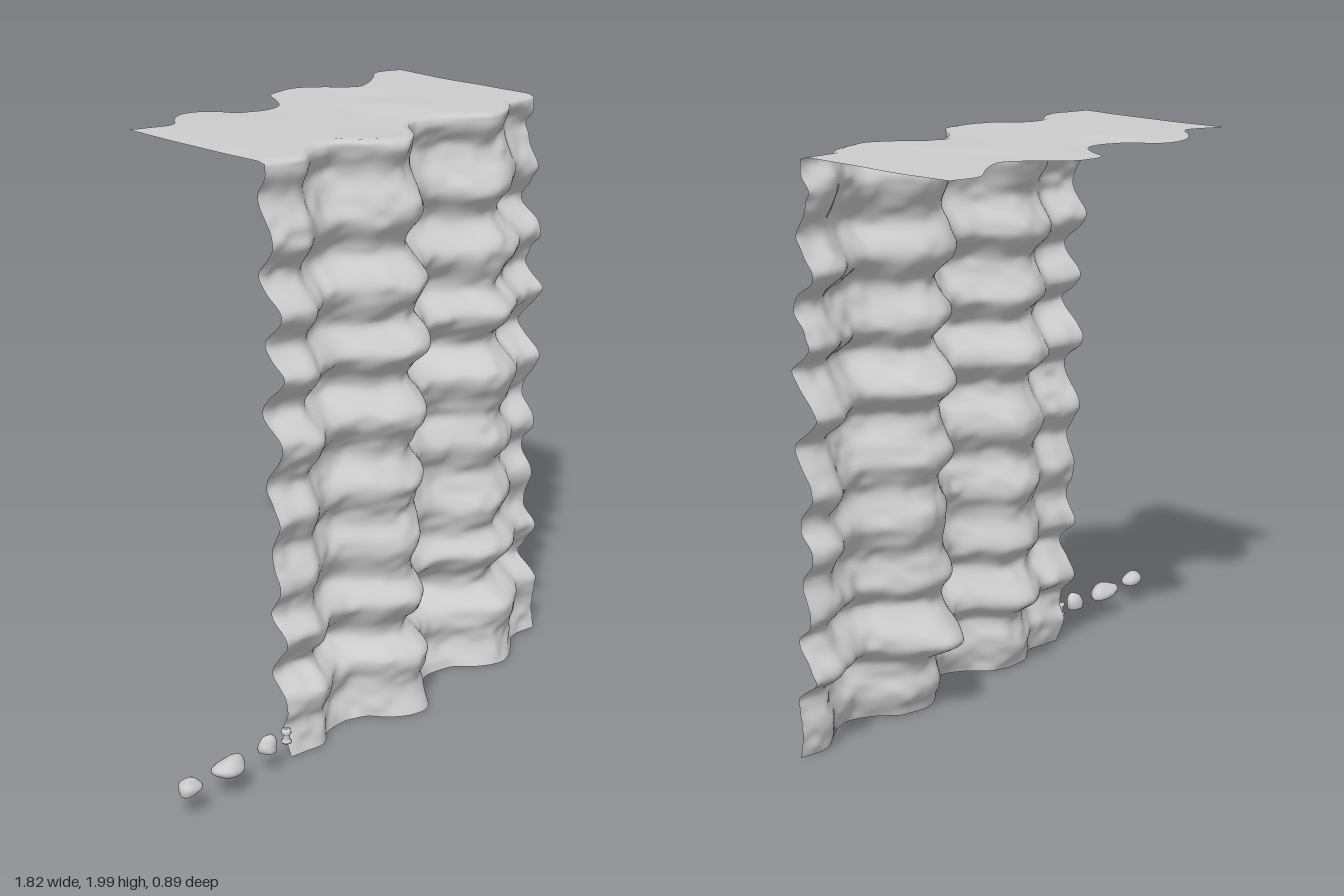
import * as THREE from 'three';

const grey = new THREE.MeshStandardMaterial({ color: 0xcccccc });
const sheet = new THREE.MeshStandardMaterial({ color: 0xcccccc, side: THREE.DoubleSide });

// Smooth curve through [position, value] pairs
function spline(keys) {
  const slope = (i) => {
    const a = keys[Math.max(i - 1, 0)], b = keys[Math.min(i + 1, keys.length - 1)];
    return (b[1] - a[1]) / (b[0] - a[0]);
  };
  return (t) => {
    let i = 0;
    while (i < keys.length - 2 && t > keys[i + 1][0]) i++;
    const [x0, y0] = keys[i], [x1, y1] = keys[i + 1];
    const h = x1 - x0, s = THREE.MathUtils.clamp((t - x0) / h, 0, 1);
    const s2 = s * s, s3 = s2 * s;
    return y0 * (2 * s3 - 3 * s2 + 1) + y1 * (3 * s2 - 2 * s3)
      + h * (slope(i) * (s3 - 2 * s2 + s) + slope(i + 1) * (s3 - s2));
  };
}

// Smooth value noise in -1..1
function hash(i, j) {
  const n = Math.sin(i * 127.1 + j * 311.7) * 43758.5453;
  return (n - Math.floor(n)) * 2 - 1;
}
function noise(x, y) {
  const i = Math.floor(x), j = Math.floor(y);
  const u = THREE.MathUtils.smoothstep(x - i, 0, 1), v = THREE.MathUtils.smoothstep(y - j, 0, 1);
  const { lerp } = THREE.MathUtils;
  return lerp(lerp(hash(i, j), hash(i + 1, j), u), lerp(hash(i, j + 1), hash(i + 1, j + 1), u), v);
}

// Plan outline of the cliff: z along x
const plan = spline([
  [-0.39, 0.275], [-0.32, 0.29], [-0.25, 0.305], [-0.18, 0.26], [-0.1, 0.234], [-0.03, 0.255],
  [0.03, 0.325], [0.08, 0.355], [0.15, 0.375], [0.22, 0.34], [0.3, 0.245], [0.38, 0.215],
  [0.47, 0.24], [0.55, 0.315], [0.62, 0.345], [0.72, 0.315], [0.8, 0.262], [0.91, 0.275],
]);
// Rear edge of the plateau: z along x
const rearEdge = spline([
  [-0.39, -0.385], [-0.33, -0.36], [-0.27, -0.335], [-0.235, -0.34], [-0.2, -0.38], [-0.15, -0.42],
  [-0.1, -0.437], [-0.04, -0.425], [0, -0.39], [0.03, -0.335], [0.07, -0.31], [0.13, -0.287],
  [0.2, -0.3], [0.25, -0.36], [0.29, -0.43], [0.38, -0.447], [0.43, -0.435], [0.5, -0.375],
  [0.55, -0.32], [0.6, -0.295], [0.67, -0.32], [0.72, -0.35], [0.81, -0.41], [0.91, -0.385],
]);
// Ledges of the cliff: z offset along y
const ledges = spline([
  [0, 0.062], [0.09, 0.025], [0.21, 0.046], [0.29, -0.04], [0.42, 0.035], [0.5, -0.03], [0.61, 0.012],
  [0.72, -0.035], [0.83, 0.008], [0.93, -0.05], [1.08, 0.02], [1.18, -0.075], [1.31, 0.022],
  [1.4, -0.055], [1.52, 0.008], [1.62, -0.08], [1.74, -0.017], [1.88, -0.085], [1.96, -0.05], [2, -0.055],
]);

const X0 = -0.39, X1 = 0.908, TOP = 1.985;

function cliffZ(x, y) {
  const wobble = y + 0.016 * noise(x * 4 + 9, y * 3) * Math.min(1, y * 5);
  const hollow = 0.05 * Math.exp(-(((x - 0.36) / 0.1) ** 2) - ((y - 0.27) / 0.07) ** 2);
  return plan(x + 0.016 * noise(y * 6, x * 3 + 40)) + ledges(wobble) * (1 + 0.2 * noise(x * 4, y * 4 + 20))
    + 0.01 * noise(x * 10, y * 14) + 0.007 * noise(x * 22, y * 28) - hollow;
}

// One sheet that climbs the cliff face and folds back over the plateau
function cliffGeometry() {
  const cols = 130, wallRows = 170, topRows = 24;
  const positions = [], index = [];
  for (let r = 0; r <= wallRows + topRows; r++) {
    for (let c = 0; c <= cols; c++) {
      const x = THREE.MathUtils.lerp(X0, X1, c / cols);
      if (r <= wallRows) {
        const y = TOP * r / wallRows;
        positions.push(x, y, cliffZ(x, y));
      } else {
        const t = (r - wallRows) / topRows;
        const y = TOP + 0.005 + 0.005 * noise(x * 4, t * 3 + 60);
        positions.push(x, y, THREE.MathUtils.lerp(cliffZ(x, TOP), rearEdge(x), t));
      }
    }
  }
  const n = cols + 1;
  for (let r = 0; r < wallRows + topRows; r++) {
    for (let c = 0; c < cols; c++) {
      const a = r * n + c;
      index.push(a, a + 1, a + n + 1, a, a + n + 1, a + n);
    }
  }
  const g = new THREE.BufferGeometry();
  g.setAttribute('position', new THREE.Float32BufferAttribute(positions, 3));
  g.setIndex(index);
  g.computeVertexNormals();
  return g;
}

// Lumpy boulder with a flattened base resting at y = 0
function rockGeometry(w, h, d, seed) {
  const g = new THREE.SphereGeometry(1, 20, 14);
  const p = g.attributes.position;
  const v = new THREE.Vector3();
  for (let i = 0; i < p.count; i++) {
    v.fromBufferAttribute(p, i);
    const k = 1 + 0.12 * Math.sin(v.x * 3 + seed) * Math.cos(v.z * 3 + seed * 2) + 0.06 * Math.sin(v.y * 4 + v.x * 2 + seed);
    v.multiplyScalar(k);
    v.y = Math.max(v.y, -0.5);
    p.setXYZ(i, v.x * w / 2, (v.y + 0.5) * h / 1.5, v.z * d / 2);
  }
  g.computeVertexNormals();
  return g;
}

export function createModel() {
  const group = new THREE.Group();
  const add = (name, geometry, material, x, y, z) => {
    const mesh = new THREE.Mesh(geometry, material);
    mesh.name = name;
    mesh.position.set(x, y, z);
    group.add(mesh);
  };

  add('cliff', cliffGeometry(), sheet, 0, 0, 0);

  // Row of loose boulders: x, width, height, depth
  const base = 0.085;
  [
    ['roundRock', -0.865, 0.09, 0.045, 0.07],
    ['wideRock', -0.69, 0.132, 0.047, 0.085],
    ['tallRock', -0.518, 0.064, 0.057, 0.054],
  ].forEach(([name, x, w, h, d], i) => add(name, rockGeometry(w, h, d, i * 1.7 + 0.6), grey, x, base, 0.353));

  // Small post with a wide foot and cap
  const profile = [
    [0, 0], [0.018, 0], [0.018, 0.005], [0.012, 0.008], [0.011, 0.028],
    [0.016, 0.032], [0.016, 0.046], [0, 0.046],
  ].map(([r, y]) => new THREE.Vector2(r, y));
  add('smallPost', new THREE.LatheGeometry(profile, 16), grey, -0.434, base, 0.353);

  return group;
}
